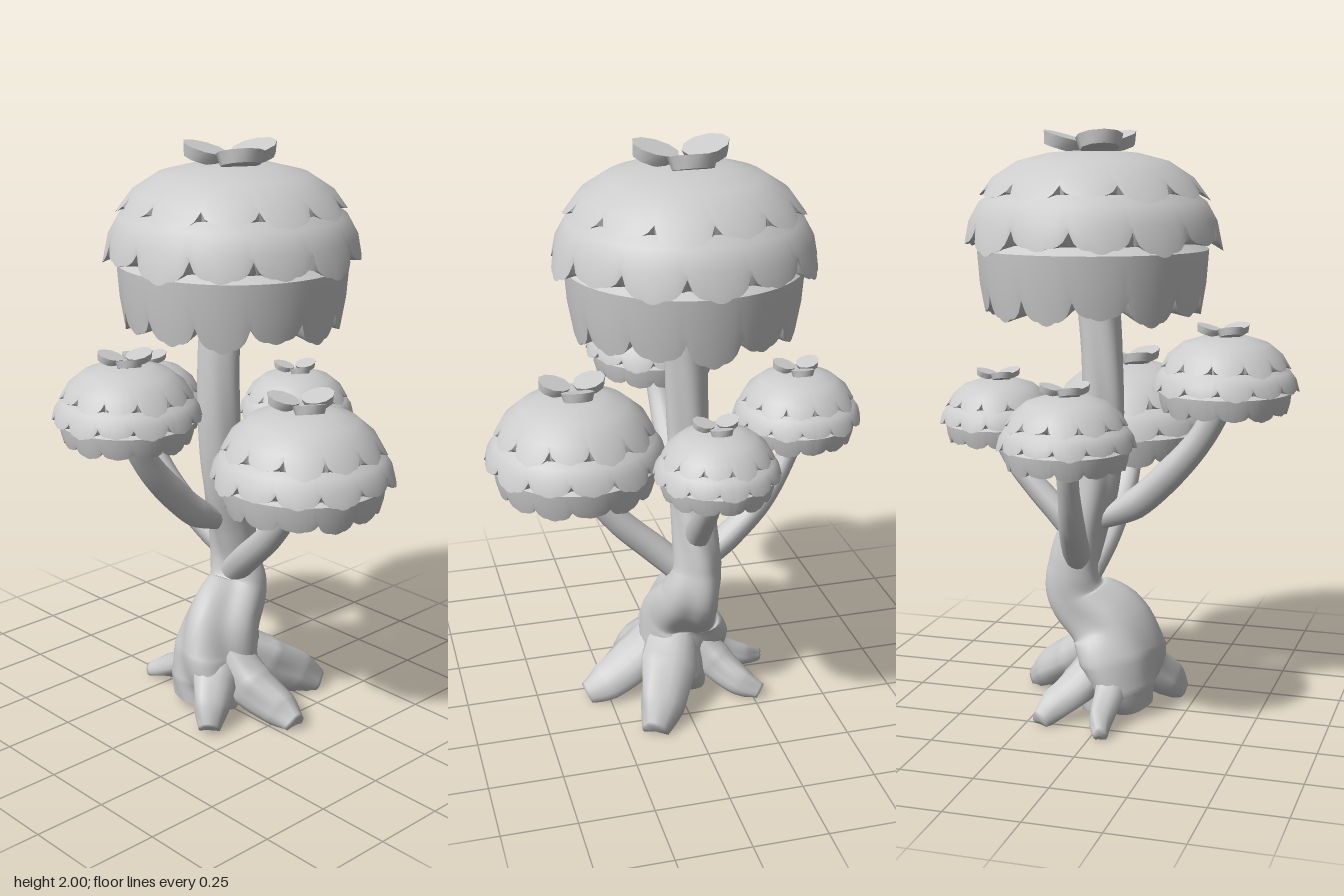
import * as THREE from 'three';
import { toCreasedNormals } from 'three/addons/utils/BufferGeometryUtils.js';

const grey = new THREE.MeshStandardMaterial({ color: 0xcccccc, side: THREE.DoubleSide });
grey.name = 'light grey';

function add(parent, name, geometry) {
  const mesh = new THREE.Mesh(geometry, grey);
  mesh.name = name;
  parent.add(mesh);
  return mesh;
}

// Tapered, fluted limb. Each point is [x, y, z, radius]; the tip is closed.
function limb(points, { sides = 16, steps = 24, flutes = 3, amp = () => 0.04, twist = 0 } = {}) {
  const curve = new THREE.CatmullRomCurve3(points.map(p => new THREE.Vector3(p[0], p[1], p[2])));
  const first = points[0], last = points[points.length - 1];
  const side = new THREE.Vector3(last[2] - first[2], 0, first[0] - last[0]).normalize();
  const pos = [], index = [];
  for (let i = 0; i <= steps + 1; i++) {
    const t = Math.min(i / steps, 1);
    const f = t * (points.length - 1), k = Math.min(Math.floor(f), points.length - 2);
    const r = i > steps ? 0.001 : THREE.MathUtils.lerp(points[k][3], points[k + 1][3], f - k);
    const c = curve.getPoint(t), T = curve.getTangent(t);
    const n = side.clone().addScaledVector(T, -side.dot(T)).normalize();
    const b = T.clone().cross(n);
    for (let j = 0; j < sides; j++) {
      const a = j / sides * Math.PI * 2;
      const wave = Math.sin(flutes * a + twist * t) + 0.5 * Math.sin((flutes + 2) * a + twist * 1.4 * t + 1);
      const q = r * (1 + amp(t) * wave);
      const v = c.clone().addScaledVector(n, q * Math.cos(a)).addScaledVector(b, q * Math.sin(a));
      pos.push(v.x, Math.max(0, v.y), v.z);
      if (i <= steps) {
        const p = i * sides + j, s = i * sides + (j + 1) % sides;
        index.push(p, s, p + sides, s, s + sides, p + sides);
      }
    }
  }
  const g = new THREE.BufferGeometry();
  g.setAttribute('position', new THREE.Float32BufferAttribute(pos, 3));
  g.setIndex(index);
  g.computeVertexNormals();
  return g;
}

// Leaf tier: a lathe whose rim (profile point 1) is cut into toothed lobes.
function tier(profile, lobes, phase, cut) {
  const per = 12, seg = lobes * per, count = profile.length;
  const g = new THREE.LatheGeometry(profile.map(p => new THREE.Vector2(p[0], p[1])), seg);
  const pos = g.attributes.position;
  const rim = new THREE.Vector3(), next = new THREE.Vector3();
  for (let i = 0; i <= seg; i++) {
    const k = Math.floor((i % seg) / per), u = (i % per) / per;
    const teeth = 0.1 * Math.abs(Math.sin(3 * Math.PI * u));
    const lobe = (0.9 * Math.pow(Math.sin(Math.PI * u), 0.55) + teeth) * (0.92 + 0.2 * Math.sin(k * 2.4 + phase));
    rim.fromBufferAttribute(pos, i * count + 1);
    next.fromBufferAttribute(pos, i * count + 2);
    rim.lerp(next, (1 - lobe) * cut);
    const flare = 0.995 + 0.015 * lobe;
    pos.setXYZ(i * count + 1, rim.x * flare, rim.y, rim.z * flare);
  }
  return toCreasedNormals(g, 0.6);
}

// Crown of three overlapping tiers with three round leaves on top.
function crown(parent, name, [x, z], [y0, y1], radius, topEdge, midEdge, phase) {
  const group = new THREE.Group();
  group.name = name;
  const h = y1 - y0;
  const place = pts => pts.map(([r, f]) => [r * radius, f * h]);
  const up = f => topEdge + f * (1 - topEdge);
  const mid = f => midEdge + f * (topEdge + 0.08 - midEdge);
  const tiers = {
    lowerLeaves: tier(place([[0, 0.14], [0.82, 0], [0.87, midEdge * 0.5], [0.89, midEdge], [0.7, midEdge + 0.1]]), 13, phase, 0.7),
    middleLeaves: tier(place([[0.87, midEdge + 0.05], [0.985, midEdge], [0.95, mid(0.45)], [0.87, mid(0.75)], [0.7, mid(1)]]), 13, phase + 1, 0.8),
    upperLeaves: tier(place([[0.78, topEdge + 0.04], [0.88, topEdge], [0.77, up(0.44)], [0.58, up(0.78)],
      [0.34, up(0.95)], [0.15, up(0.99)], [0, 1]]), 12, phase + 2, 0.75),
  };
  for (const [part, geometry] of Object.entries(tiers)) add(group, part, geometry);
  // Round top leaves, tilted up at their outer ends
  const s = radius / 0.437;
  for (let i = 0; i < 3; i++) {
    const holder = new THREE.Group();
    holder.name = 'topLeafHolder';
    holder.rotation.y = Math.PI + i * Math.PI * 2 / 3;
    const disc = add(holder, 'topLeaf', toCreasedNormals(new THREE.CylinderGeometry(0.079 * s, 0.066 * s, 0.042 * s, 10), 0.9));
    disc.position.set(0, h + 0.026 * s, 0.1 * s);
    disc.rotation.x = -0.28;
    group.add(holder);
  }
  group.position.set(x, y0, z);
  parent.add(group);
}

export function createModel() {
  const tree = new THREE.Group();
  tree.name = 'tree';

  // Twisted trunk rising into the main crown
  add(tree, 'trunk', limb([
    [-0.02, 0.02, 0.02, 0.12], [-0.025, 0.1, 0.01, 0.15], [-0.025, 0.2, 0, 0.155], [-0.02, 0.31, -0.03, 0.132],
    [-0.04, 0.42, -0.13, 0.102], [-0.058, 0.52, -0.135, 0.086], [-0.055, 0.64, -0.11, 0.08], [-0.05, 0.8, -0.065, 0.075],
    [-0.045, 1.0, -0.04, 0.071], [-0.043, 1.25, -0.04, 0.07], [-0.038, 1.5, -0.06, 0.073],
  ], { sides: 40, steps: 80, twist: 13, amp: t => (t < 0.5 ? 0.15 - 0.16 * t : 0.07) }));

  // Curved branches, one for each side crown
  const branches = {
    frontBranch: [[-0.05, 0.68, -0.05, 0.035], [-0.045, 0.74, 0.07, 0.052], [-0.045, 0.85, 0.19, 0.052], [-0.04, 0.98, 0.3, 0.045], [-0.035, 1.13, 0.38, 0.045]],
    rightBranch: [[-0.05, 0.52, -0.12, 0.045], [-0.17, 0.6, -0.1, 0.048], [-0.3, 0.71, -0.07, 0.044], [-0.39, 0.84, -0.05, 0.036], [-0.45, 0.99, -0.04, 0.036]],
    leftBranch: [[-0.03, 0.48, -0.1, 0.05], [0.07, 0.57, -0.07, 0.05], [0.19, 0.68, -0.05, 0.047], [0.28, 0.79, -0.04, 0.042], [0.345, 0.93, -0.05, 0.042]],
    backBranch: [[-0.05, 0.58, -0.1, 0.045], [-0.05, 0.68, -0.18, 0.046], [-0.045, 0.77, -0.27, 0.042], [-0.04, 0.87, -0.36, 0.036], [-0.04, 0.99, -0.42, 0.036]],
  };
  for (const [name, points] of Object.entries(branches)) add(tree, name, limb(points));

  // Spreading roots: end position, thickness, height at the shoulder, sideways curl
  const roots = [[0.15, 0.19, 0.065, 0.1, 0.02], [0.33, -0.06, 0.07, 0.07, -0.03], [-0.345, 0.04, 0.042, 0.065, 0.04],
    [0.15, -0.35, 0.08, 0.1, -0.02], [-0.28, -0.2, 0.055, 0.07, 0.03]];
  for (const [x, z, r, shoulder, curl] of roots) {
    add(tree, 'root', limb([
      [x * 0.15 - 0.015, 0.22, z * 0.15, r], [x * 0.45 - 0.01, shoulder + 0.04, z * 0.45, r * 1.2],
      [x * 0.78 - z * curl, shoulder * 0.7, z * 0.78 + x * curl, r * 0.95], [x * 0.99, 0.015, z * 0.99, r * 0.55],
    ], { amp: () => 0.1, twist: 3 }));
  }

  // Crowns
  crown(tree, 'mainCrown', [-0.022, -0.08], [1.38, 1.93], 0.437, 0.71, 0.41, 0);
  crown(tree, 'frontCrown', [-0.032, 0.38], [1.07, 1.33], 0.248, 0.56, 0.29, 1);
  crown(tree, 'rightCrown', [-0.437, -0.04], [0.935, 1.175], 0.225, 0.56, 0.29, 2);
  crown(tree, 'leftCrown', [0.345, -0.05], [0.835, 1.175], 0.311, 0.56, 0.29, 3);
  crown(tree, 'backCrown', [-0.042, -0.415], [0.935, 1.155], 0.209, 0.56, 0.29, 4);
  return tree;
}
